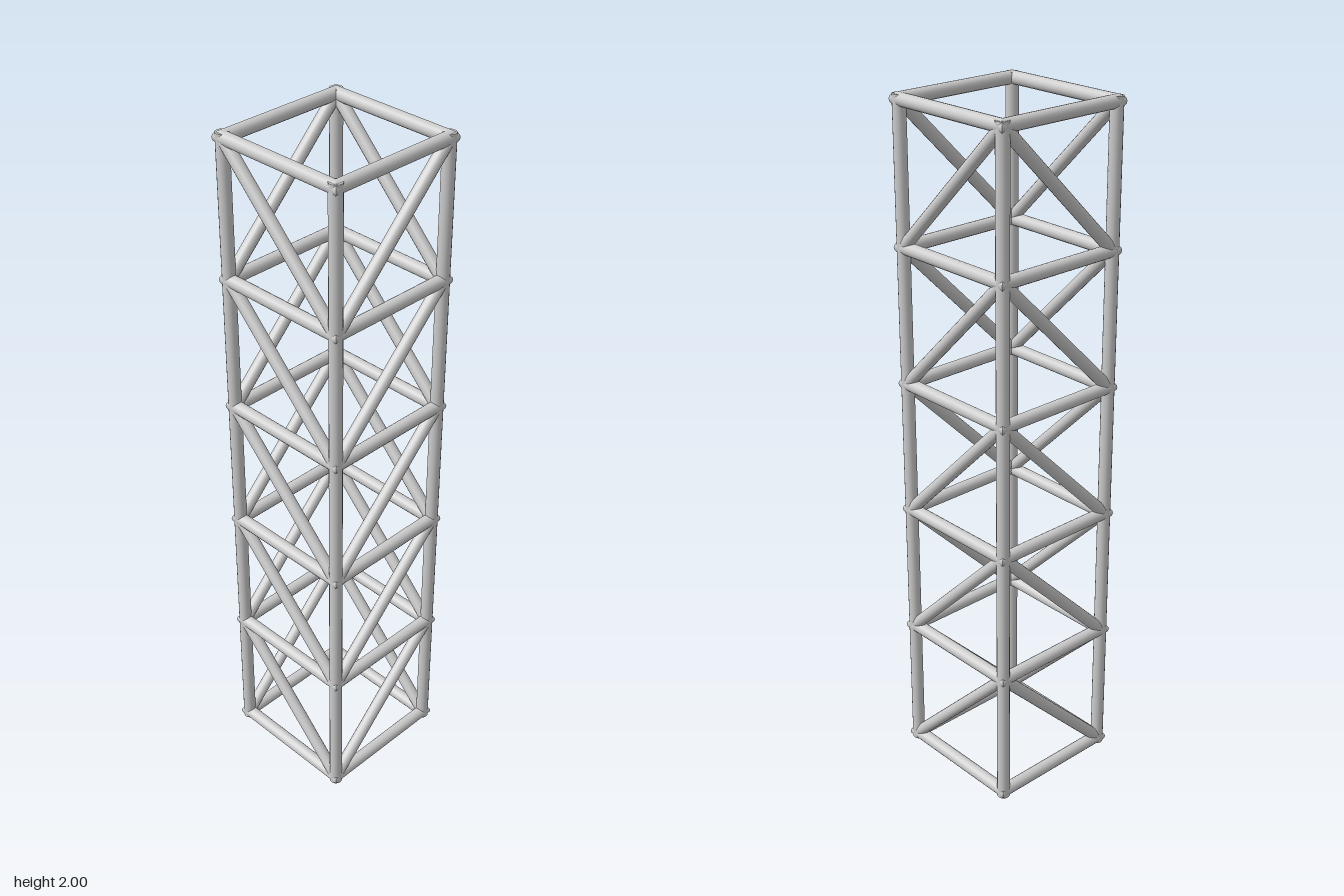
import * as THREE from 'three';

const A = 0.195; // distance of bar centre lines from the axis
const R = 0.0185; // bar radius
const BAYS = 5;
const LOW = R, HIGH = 2 - R;

export function createModel() {
  const tower = new THREE.Group();
  tower.name = 'latticeTower';
  const material = new THREE.MeshStandardMaterial({ color: 0xcccccc });

  // Round bar between two points
  function addBar(parent, name, from, to, radius) {
    const dir = to.clone().sub(from);
    const bar = new THREE.Mesh(new THREE.CylinderGeometry(radius, radius, dir.length(), 16), material);
    bar.name = name;
    bar.position.copy(from).add(to).multiplyScalar(0.5);
    bar.quaternion.setFromUnitVectors(new THREE.Vector3(0, 1, 0), dir.normalize());
    parent.add(bar);
  }

  // Horizontal bar along x on the front face, ends mitred at 45 degrees
  const railGeometry = new THREE.CylinderGeometry(R, R, 2 * A, 16, 1, true).rotateZ(Math.PI / 2);
  const p = railGeometry.attributes.position;
  for (let i = 0; i < p.count; i++) p.setX(i, p.getX(i) + Math.sign(p.getX(i)) * p.getZ(i));
  railGeometry.translate(0, 0, A);

  const levels = Array.from({ length: BAYS + 1 }, (_, i) => LOW + ((HIGH - LOW) * i) / BAYS);

  // Square ring of rails at every level
  levels.forEach((y) => {
    const ring = new THREE.Group();
    ring.name = 'railRing';
    ring.position.y = y;
    for (let k = 0; k < 4; k++) {
      const rail = new THREE.Mesh(railGeometry, material);
      rail.name = 'rail';
      rail.rotation.y = (k * Math.PI) / 2;
      ring.add(rail);
    }
    tower.add(ring);
  });

  for (const s of [-1, 1]) {
    // Corner posts
    for (const t of [-1, 1]) {
      addBar(tower, 'cornerPost', new THREE.Vector3(s * A, 0.004, t * A), new THREE.Vector3(s * A, 1.996, t * A), R);
    }
    // Diagonal braces, leaning the same way on opposite faces
    for (let i = 0; i < BAYS; i++) {
      const y0 = levels[i], y1 = levels[i + 1];
      addBar(tower, 'crossBrace', new THREE.Vector3(A, y0, s * A), new THREE.Vector3(-A, y1, s * A), R * 0.95);
      addBar(tower, 'sideBrace', new THREE.Vector3(s * A, y0, A), new THREE.Vector3(s * A, y1, -A), R * 0.95);
    }
  }
  return tower;
}
